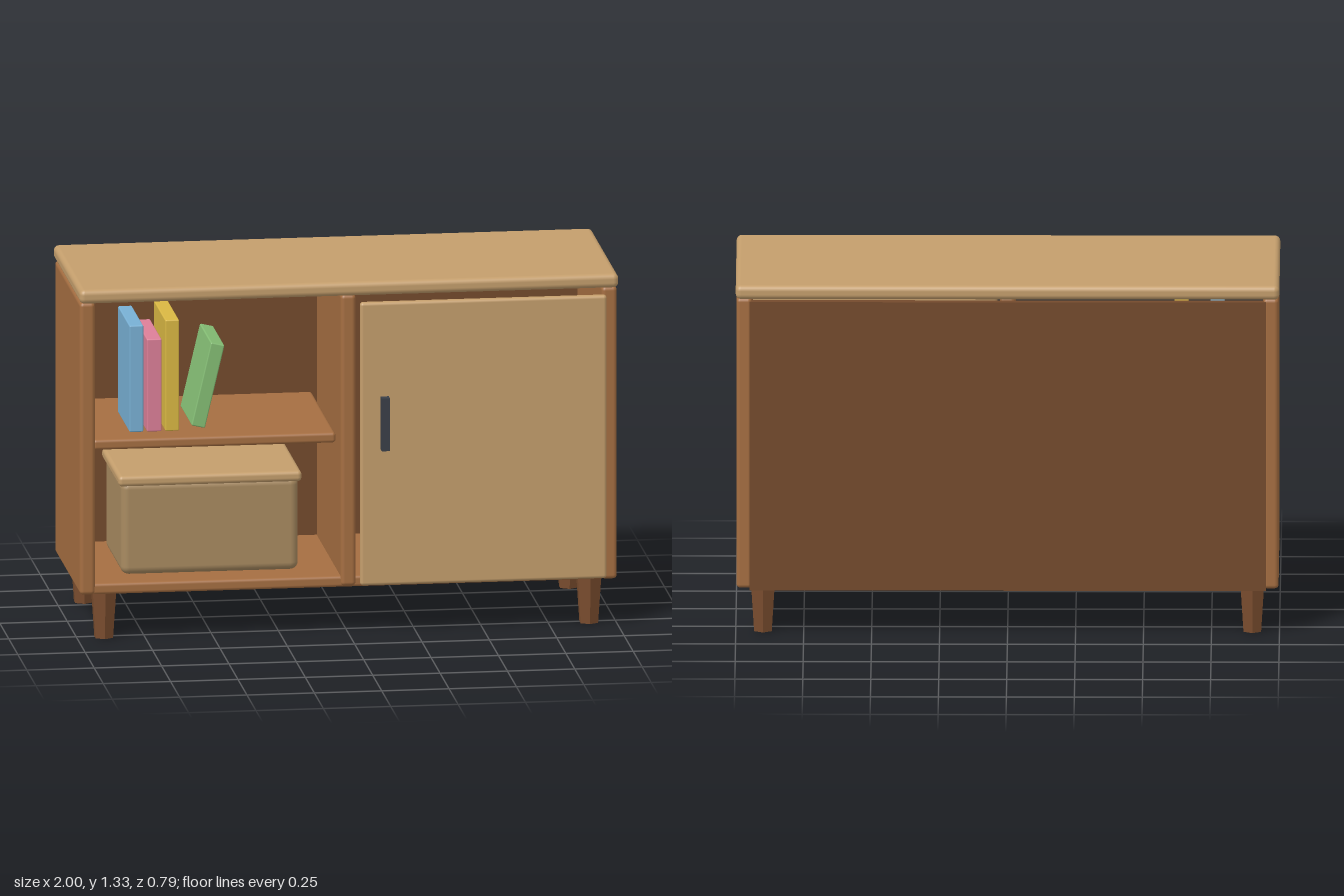
import * as THREE from 'three';
import { RoundedBoxGeometry } from 'three/addons/geometries/RoundedBoxGeometry.js';

const paint = (color, flatShading = false) => {
  const m = new THREE.MeshStandardMaterial({ flatShading });
  m.color.set(color);
  return m;
};
const oak = paint(0xc49e6c), wood = paint(0xa56e41), darkWood = paint(0x744a2c);
const legWood = paint(0x7a4d2e, true), card = paint(0xa88a60), metal = paint(0x3a3f48);

export function createModel() {
  const group = new THREE.Group();
  group.name = 'sideboard';

  // Box given by its extents on each axis, with rounded edges
  const panel = (name, [x0, x1], [y0, y1], [z0, z1], material, radius = 0.012) => {
    const w = x1 - x0, h = y1 - y0, d = z1 - z0;
    const geometry = radius ? new RoundedBoxGeometry(w, h, d, 3, radius) : new THREE.BoxGeometry(w, h, d);
    const mesh = new THREE.Mesh(geometry, material);
    mesh.name = name;
    mesh.position.set((x0 + x1) / 2, (y0 + y1) / 2, (z0 + z1) / 2);
    group.add(mesh);
    return mesh;
  };

  // Carcass
  const depth = [-0.367, 0.332];
  panel('top', [-1, 1], [1.28, 1.333], [-0.392, 0.356], oak, 0.02);
  panel('rightSide', [-0.997, -0.94], [0.175, 1.28], depth, wood, 0.015);
  panel('leftSide', [0.94, 0.997], [0.175, 1.28], depth, wood, 0.015);
  panel('divider', [-0.028, 0.028], [0.178, 1.28], [-0.35, 0.33], wood, 0.015);
  panel('bottom', [-0.95, 0.95], [0.173, 0.215], [-0.36, 0.32], wood);
  panel('shelf', [-0.945, -0.045], [0.718, 0.757], [-0.35, 0.315], wood);
  panel('back', [-0.95, 0.95], [0.17, 1.268], [-0.374, -0.345], darkWood, 0);

  // Door and handle
  panel('door', [0.04, 0.955], [0.185, 1.255], [0.332, 0.362], oak, 0.012);
  panel('handle', [0.115, 0.145], [0.7, 0.9], [0.358, 0.395], metal, 0);

  // Tapered six-sided legs
  for (const x of [-0.9, 0.9]) {
    for (const z of [0.265, -0.3]) {
      const leg = new THREE.Mesh(new THREE.CylinderGeometry(0.05, 0.0375, 0.175, 6), legWood);
      leg.name = 'leg';
      leg.position.set(x, 0.0875, z);
      group.add(leg);
    }
  }

  // Storage box with a lid
  panel('storageBox', [-0.83, -0.172], [0.222, 0.575], [-0.21, 0.235], card, 0.03);
  panel('storageBoxLid', [-0.842, -0.162], [0.56, 0.6], [-0.225, 0.25], oak, 0.015);

  // Upright books: left edge, right edge, top, colour
  for (const [x0, x1, top, color] of [
    [-0.797, -0.745, 1.16, 0x78b0d4],
    [-0.732, -0.677, 1.107, 0xdc7f98],
    [-0.664, -0.612, 1.177, 0xd9b743],
  ]) panel('book', [x0, x1], [0.757, top], [-0.11, 0.21], paint(color), 0.005);

  // Leaning book
  const leaning = panel('leaningBook', [-0.531, -0.479], [0.763, 1.083], [-0.11, 0.2], paint(0x84bd74), 0.005);
  leaning.position.x = -0.504;
  leaning.rotation.z = -0.23;

  return group;
}
